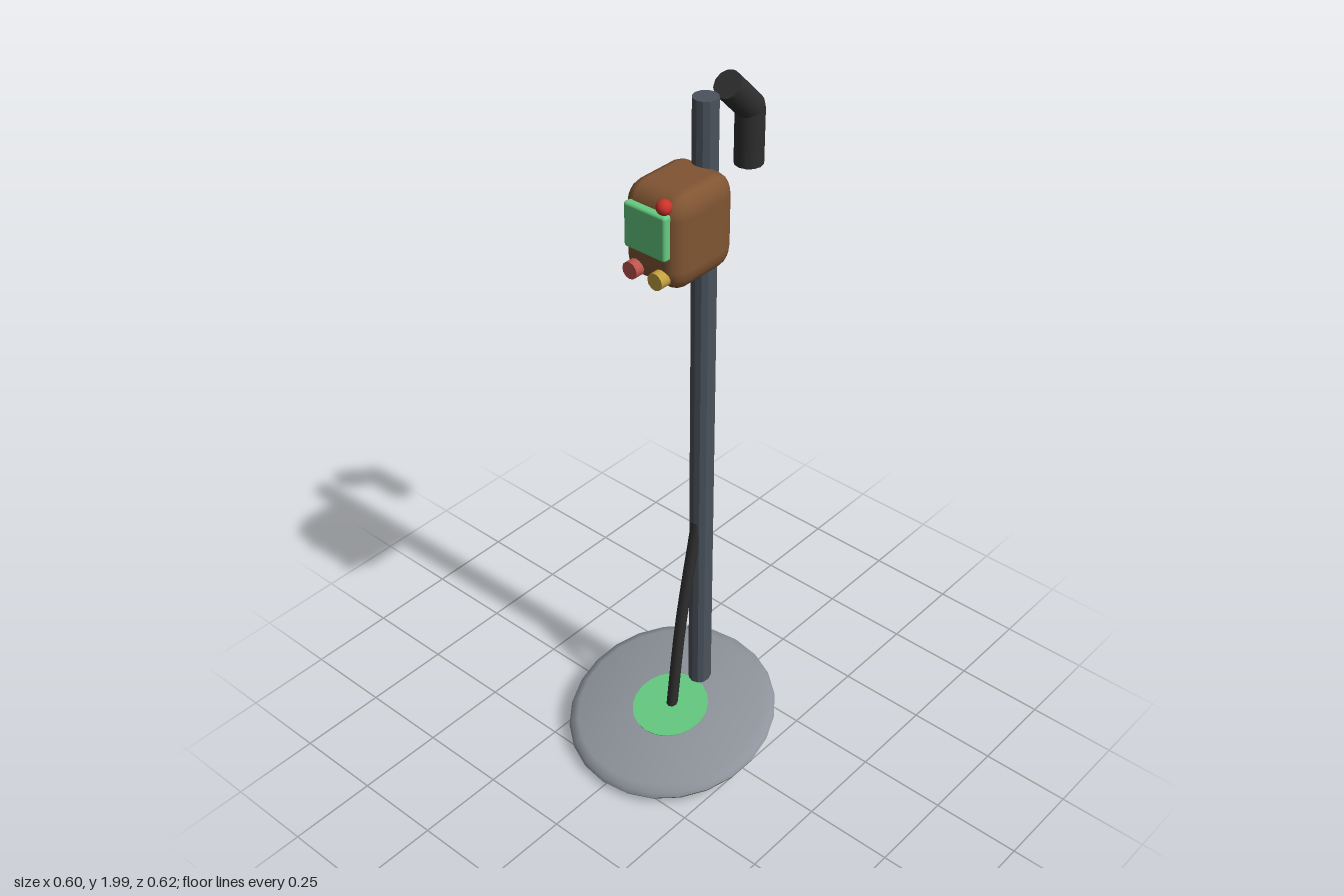
import * as THREE from 'three';
import { RoundedBoxGeometry } from 'three/addons/geometries/RoundedBoxGeometry.js';
import { toCreasedNormals } from 'three/addons/utils/BufferGeometryUtils.js';

const material = (name, color) => {
  const m = new THREE.MeshStandardMaterial({ color });
  m.name = name;
  return m;
};

export function createModel() {
  const plateGrey = material('plate grey', 0x8f949c);
  const poleGrey = material('pole steel', 0x4b535c);
  const black = material('black rubber', 0x2e2e2e);
  const brown = material('brown case', 0x805533);
  const green = material('green', 0x66cc82);
  const red = material('red lamp', 0xcc3329);
  const rose = material('rose knob', 0xbf554d);
  const gold = material('gold knob', 0xc4a240);

  const model = new THREE.Group();
  model.name = 'detector';
  const add = (name, geometry, mat, position = [0, 0, 0], parent = model) => {
    const mesh = new THREE.Mesh(geometry, mat);
    mesh.name = name;
    mesh.position.set(...position);
    parent.add(mesh);
    return mesh;
  };

  // Tilted search plate with a rounded rim and a green core through it
  const head = new THREE.Group();
  head.name = 'searchHead';
  head.position.set(0, 0.09, 0.02);
  head.rotation.x = 0.225;
  model.add(head);
  const profile = [[0, -0.024], [0.275, -0.024], [0.293, -0.014], [0.3, 0],
    [0.293, 0.014], [0.27, 0.024], [0, 0.024]].map(p => new THREE.Vector2(...p));
  add('plate', toCreasedNormals(new THREE.LatheGeometry(profile, 24), 0.8), plateGrey, [0, 0, 0], head);
  add('core', new THREE.CylinderGeometry(0.11, 0.11, 0.056, 20), green, [0, -0.002, 0], head);

  // Upright pole
  add('pole', toCreasedNormals(new THREE.CylinderGeometry(0.033, 0.033, 1.85, 12), 0.4), poleGrey, [0, 1.045, -0.103]);

  // Cable bending from the core up into the pole
  const cablePath = new THREE.CatmullRomCurve3([[0.1, 0.02], [0.4, -0.02], [0.72, -0.085]]
    .map(([y, z]) => new THREE.Vector3(0, y, z)));
  add('cable', new THREE.TubeGeometry(cablePath, 8, 0.016, 8), black);

  // Bent grip behind the pole: two bars and a round elbow
  const grip = new THREE.Group();
  grip.name = 'grip';
  model.add(grip);
  const elbow = new THREE.Vector3(0, 1.885, -0.268);
  const ends = [['gripTop', 1.972, -0.181], ['gripBottom', 1.735, -0.268]];
  for (const [name, y, z] of ends) {
    const axis = new THREE.Vector3(0, y, z).sub(elbow);
    const bar = add(name, new THREE.CylinderGeometry(0.038, 0.038, axis.length(), 12), black, [0, 0, 0], grip);
    bar.position.copy(elbow).addScaledVector(axis, 0.5);
    bar.quaternion.setFromUnitVectors(new THREE.Vector3(0, 1, 0), axis.normalize());
  }
  add('gripElbow', new THREE.SphereGeometry(0.038, 12, 8), black, elbow.toArray(), grip);

  // Control box with screen, lamp and two knobs
  const box = add('controlBox', new RoundedBoxGeometry(1, 1, 1, 2, 0.23), brown, [0, 1.675, -0.01]);
  box.scale.set(0.18, 0.255, 0.22);
  add('screen', new RoundedBoxGeometry(0.13, 0.12, 0.026, 2, 0.008), green, [0, 1.703, 0.103]);
  add('lamp', new THREE.SphereGeometry(0.02, 12, 8), red, [0.057, 1.787, 0.108]);
  for (const [name, x, mat] of [['rightKnob', -0.04, rose], ['leftKnob', 0.04, gold]]) {
    add(name, new THREE.CylinderGeometry(0.023, 0.023, 0.045, 12), mat, [x, 1.588, 0.101]).rotation.x = Math.PI / 2;
  }
  return model;
}
